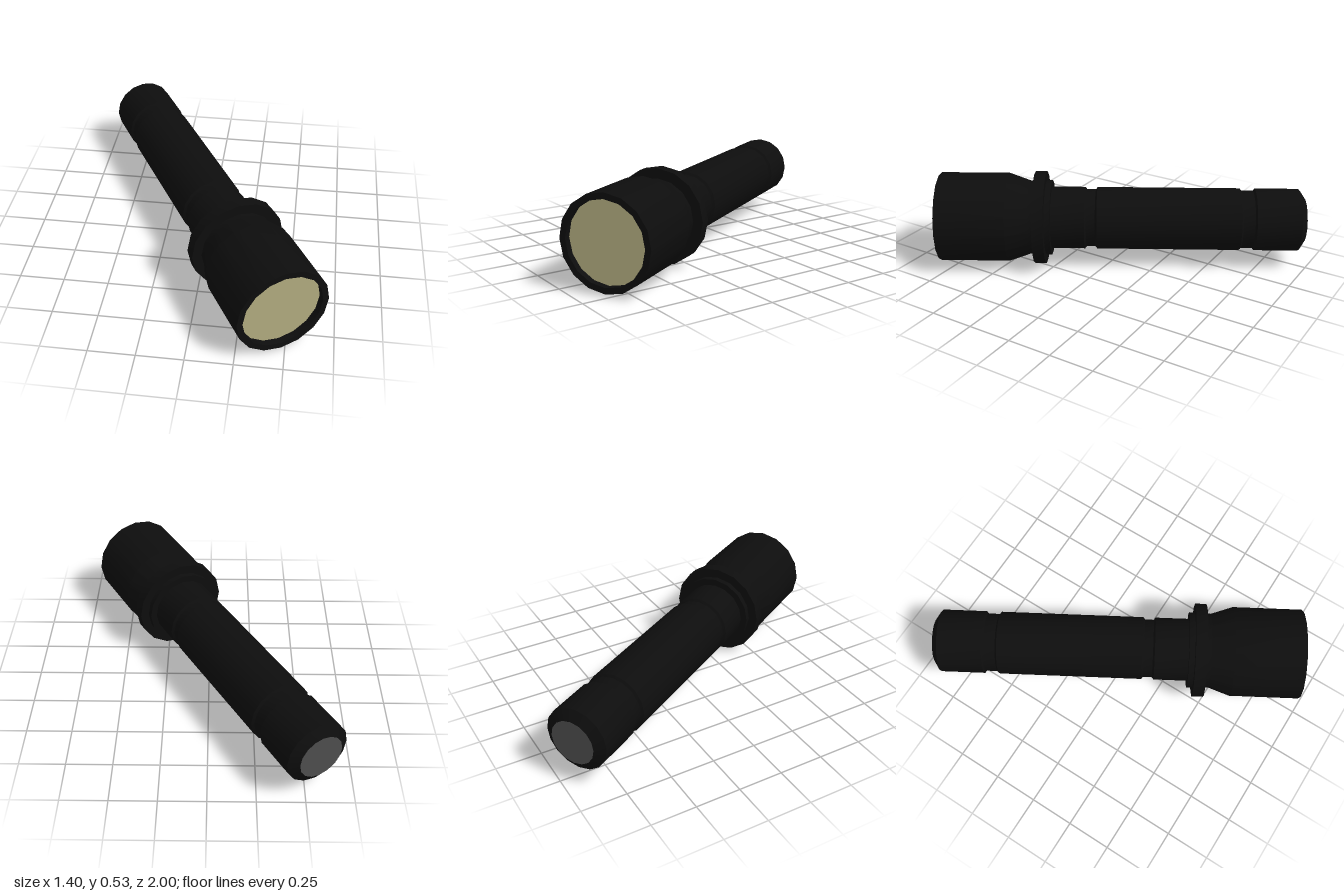
import * as THREE from 'three';
import { toCreasedNormals } from 'three/addons/utils/BufferGeometryUtils.js';

const SIDES = 16;

export function createModel() {
  const black = new THREE.MeshStandardMaterial({ color: 0x0d0d0d });
  black.name = 'blackMetal';
  const cream = new THREE.MeshStandardMaterial({ color: 0xb3ad80 });
  cream.name = 'creamLens';
  const grey = new THREE.MeshStandardMaterial({ color: 0x4e4e4e });
  grey.name = 'greyButton';

  const torch = new THREE.Group();
  torch.name = 'flashlight';

  // Turned part: profile of [radius, distance along the axis], tail to front
  function turned(name, profile) {
    const points = profile.map(([r, u]) => new THREE.Vector2(r, u));
    const geometry = new THREE.LatheGeometry(points, SIDES).rotateX(Math.PI / 2);
    const mesh = new THREE.Mesh(toCreasedNormals(geometry, 0.5), black);
    mesh.name = name;
    torch.add(mesh);
  }

  // Flat round face across the axis
  function disc(name, radius, u, material, backward) {
    const geometry = new THREE.CircleGeometry(radius, SIDES);
    if (backward) geometry.rotateY(Math.PI);
    const mesh = new THREE.Mesh(geometry, material);
    mesh.name = name;
    mesh.position.z = u;
    torch.add(mesh);
  }

  turned('tailCap', [[0.125, -1.095], [0.178, -1.06], [0.178, -0.81], [0.165, -0.80]]);
  turned('tailGroove', [[0.165, -0.80], [0.165, -0.735]]);
  turned('grip', [[0.165, -0.735], [0.178, -0.725], [0.178, 0.09], [0.165, 0.10]]);
  turned('neckGroove', [[0.165, 0.10], [0.165, 0.15]]);
  turned('neck', [[0.165, 0.15], [0.178, 0.16], [0.178, 0.35]]);
  turned('collarStep', [[0.178, 0.35], [0.216, 0.35], [0.216, 0.382]]);
  turned('collar', [[0.216, 0.382], [0.267, 0.382], [0.267, 0.447], [0.212, 0.447]]);
  // Head with a shallow bore in front of the lens
  turned('head', [
    [0.212, 0.447], [0.212, 0.475], [0.255, 0.598], [0.255, 0.992],
    [0.222, 0.992], [0.222, 0.955],
  ]);

  disc('lens', 0.222, 0.955, cream, false);
  disc('tailButton', 0.125, -1.095, grey, true);

  // Lying turned thirty degrees, resting on the collar
  torch.rotation.y = Math.PI / 6;
  torch.position.set(-0.015, 0.267, 0.006);

  const model = new THREE.Group();
  model.name = 'model';
  model.add(torch);
  return model;
}
